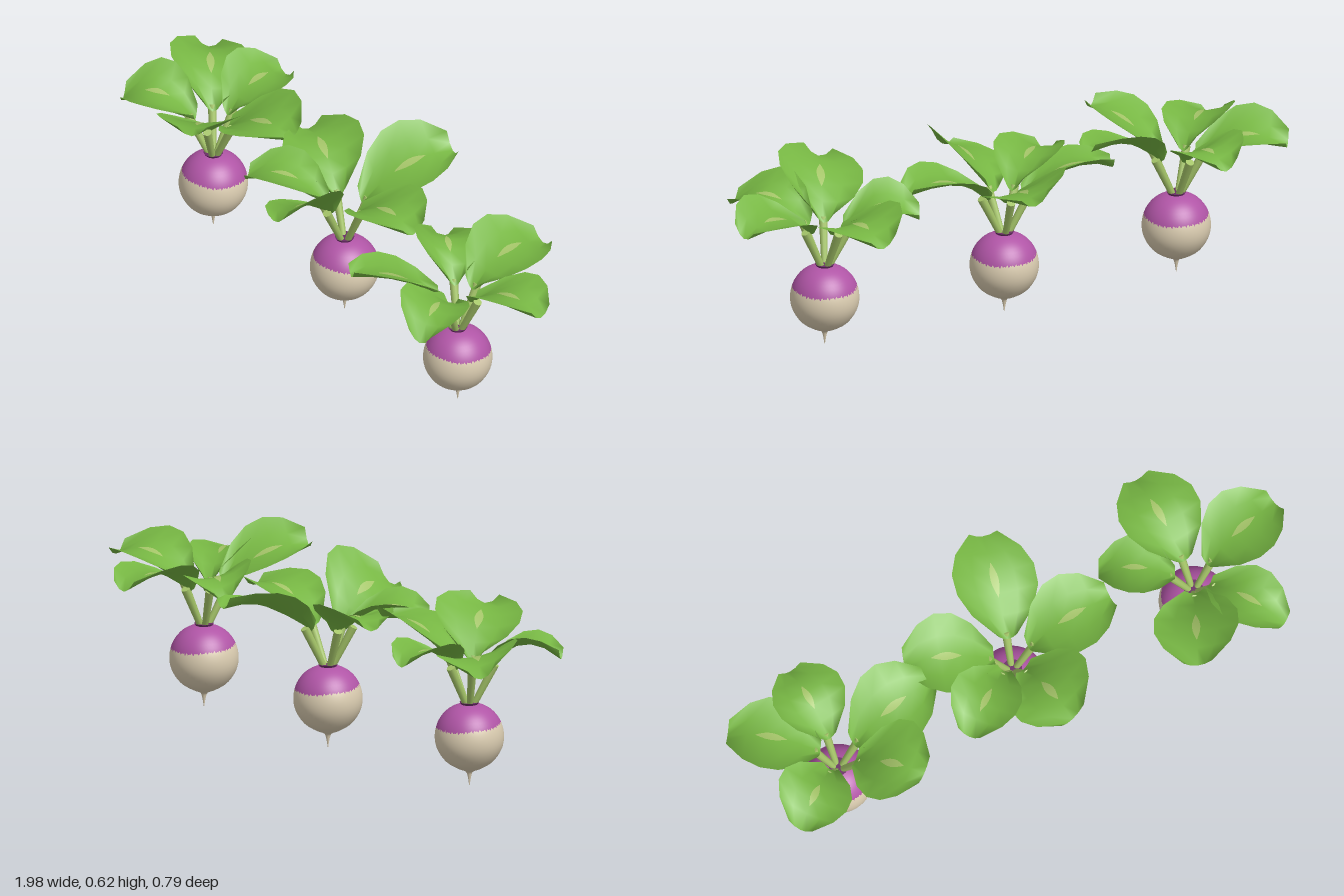
import * as THREE from 'three';
import { ParametricGeometry } from 'three/addons/geometries/ParametricGeometry.js';

const material = (name, color, side = THREE.FrontSide) => {
  const m = new THREE.MeshStandardMaterial({ color, side });
  m.name = name;
  return m;
};

// Each leaf: tip x, tip z (from the plant's axis), tip height, sideways roll, width factor
const PLANTS = [
  { x: -0.663, z: -0.01, leaves: [
    [-0.288, -0.225, 0.455, 0.18, 1], [0, -0.31, 0.455, 0.1, 0.93], [0.362, -0.03, 0.5, 0.22, 1],
    [0.18, 0.245, 0.535, 0.12, 1.08], [-0.25, 0.175, 0.44, -0.15, 0.92]] },
  { x: 0, z: -0.01, leaves: [
    [0.11, -0.37, 0.515, 0.26, 1.05], [0.365, 0.015, 0.475, 0.05, 1], [0.04, 0.318, 0.49, 0.56, 1.02],
    [-0.275, 0.185, 0.45, 0, 0.88], [-0.335, -0.13, 0.48, -0.15, 1]] },
  { x: 0.65, z: 0.057, leaves: [
    [0, -0.365, 0.455, 0.14, 1.05], [0.348, -0.06, 0.46, -0.12, 1], [0.165, 0.303, 0.425, -0.2, 0.84],
    [-0.17, 0.312, 0.52, 0.25, 1.05], [-0.265, -0.16, 0.435, 0.2, 0.83]] },
];

// Half outline of the bulb, from the root tip up to the crown
const PROFILE = new THREE.SplineCurve([
  [0.001, 0], [0.006, 0.03], [0.014, 0.047], [0.043, 0.06], [0.08, 0.085], [0.106, 0.125],
  [0.1135, 0.167], [0.104, 0.211], [0.08, 0.246], [0.046, 0.268], [0.001, 0.278],
].map(([r, y]) => new THREE.Vector2(r, y)));

// Ragged line where the cream skin turns purple
const skinEdge = (a) => 0.687 + 0.02 * Math.sin(a + 2.2) + 0.003 * Math.sin(a * 5)
  + 0.006 * Math.sin(a * 71) + 0.005 * Math.sin(a * 43);

function bulbSkin(upper) {
  return new ParametricGeometry((u, v, out) => {
    const a = u * Math.PI * 2, edge = skinEdge(a);
    const p = PROFILE.getPoint(upper ? edge + (1 - edge) * v : edge * v);
    out.set(p.x * Math.sin(a), p.y, p.x * Math.cos(a));
  }, 240, upper ? 10 : 22);
}

// Half widths of a leaf from stalk to tip
const WIDTHS = [0.03, 0.098, 0.13, 0.132, 0.105, 0.045];

function leafPoint([tx, tz, ty, roll, wide], w, t, out) {
  const length = Math.hypot(tx, tz), dx = tx / length, dz = tz / length;
  const i = Math.min(4, Math.max(0, Math.floor(t * 5)));
  const half = THREE.MathUtils.lerp(WIDTHS[i], WIDTHS[i + 1], t * 5 - i) * wide;
  const r = 0.06 + (length - 0.06) * t;
  // Arched midrib, raised edges, then the roll
  const y = 0.4 * (1 - t) ** 2 + 2 * 0.55 * t * (1 - t) + ty * t * t
    + 0.036 * w * w + roll * w * half;
  return out.set(dx * r + dz * w * half, y, dz * r - dx * w * half);
}

const leafBlade = (leaf) =>
  new ParametricGeometry((u, v, out) => leafPoint(leaf, 1 - 2 * u, v, out), 4, 5);

// Pale pointed streak lying along the middle of the blade
const leafRib = (leaf) => new ParametricGeometry((u, v, out) => {
  const w = (1 - 2 * u) * (0.005 + 0.095 * Math.sin(Math.PI * v));
  leafPoint(leaf, w, 0.36 + 0.34 * v, out);
  out.y += 0.003;
}, 2, 6);

// Straight stalk, thicker at its cut top
function leafStalk([tx, tz]) {
  const length = Math.hypot(tx, tz), dx = tx / length, dz = tz / length;
  const foot = new THREE.Vector3(dx * 0.012, 0.268, dz * 0.012);
  const head = new THREE.Vector3(dx * 0.085, 0.412, dz * 0.085);
  const span = head.clone().sub(foot);
  const turn = new THREE.Quaternion().setFromUnitVectors(
    new THREE.Vector3(0, 1, 0), span.clone().normalize());
  const middle = foot.add(head).multiplyScalar(0.5);
  return new THREE.CylinderGeometry(0.0145, 0.0105, span.length(), 10)
    .applyQuaternion(turn).translate(middle.x, middle.y, middle.z);
}

export function createModel() {
  const cream = material('cream skin', 0xdaccb0);
  const purple = material('purple skin', 0xb055a6);
  const plum = material('plum crown', 0x6a2f66);
  const green = material('leaf green', 0x77b743, THREE.DoubleSide);
  const paleGreen = material('pale stalk green', 0xa4c468, THREE.DoubleSide);

  const model = new THREE.Group();
  model.name = 'turnips';
  const lower = bulbSkin(false), upper = bulbSkin(true);
  const collar = new THREE.CylinderGeometry(0.032, 0.028, 0.007, 20);

  for (const { x, z, leaves } of PLANTS) {
    const plant = new THREE.Group();
    plant.name = 'turnip';
    plant.position.set(x, 0, z);
    const add = (name, geometry, mat) => {
      const mesh = new THREE.Mesh(geometry, mat);
      mesh.name = name;
      plant.add(mesh);
      return mesh;
    };
    add('bulbAndRoot', lower, cream);
    add('bulbTop', upper, purple);
    add('crown', collar, plum).position.y = 0.278;
    for (const leaf of leaves) {
      add('stalk', leafStalk(leaf), paleGreen);
      add('leaf', leafBlade(leaf), green);
      add('leafRib', leafRib(leaf), paleGreen);
    }
    model.add(plant);
  }
  return model;
}
